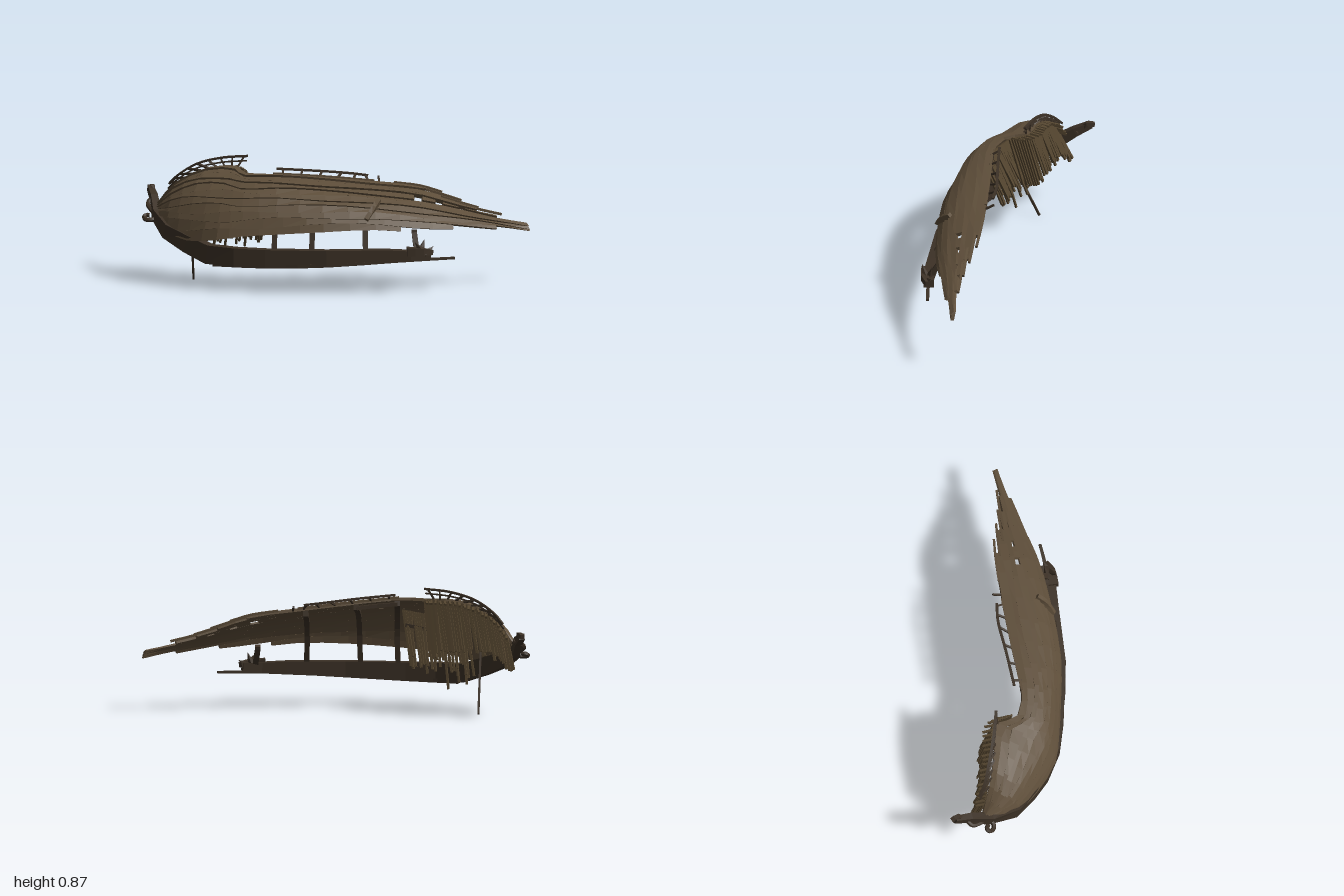
import * as THREE from 'three';

const V = (x, y, z) => new THREE.Vector3(x, y, z);
const curve = pts => new THREE.CatmullRomCurve3(pts.map(p => V(...p)));
const wood = color => new THREE.MeshStandardMaterial({ color, flatShading: true });
const hullWood = wood(0x5e4e3a), darkWood = wood(0x3c3126), slatWood = wood(0x54452f);

let seed = 7;
const rand = () => (seed = (seed * 16807) % 2147483647) / 2147483647;

// Hull stations from bow to stern: lower edge and upper edge of the planking
const LOW = curve([[-0.88, 0.43, -0.77], [-0.95, 0.36, -0.56], [-0.93, 0.32, -0.36], [-0.86, 0.35, -0.13],
  [-0.75, 0.38, 0], [-0.58, 0.4, 0.17], [-0.35, 0.42, 0.38], [-0.05, 0.43, 0.57], [0.25, 0.4, 0.73],
  [0.52, 0.38, 0.83], [0.75, 0.36, 0.91], [0.985, 0.31, 0.99]]);
const TOP = curve([[-0.85, 0.5, -0.78], [-0.79, 0.66, -0.66], [-0.65, 0.77, -0.49], [-0.51, 0.785, -0.35],
  [-0.56, 0.765, -0.2], [-0.42, 0.765, -0.03], [-0.12, 0.735, 0.14], [0.16, 0.7, 0.31], [0.43, 0.66, 0.49],
  [0.62, 0.58, 0.64], [0.79, 0.51, 0.78], [0.95, 0.47, 0.93]]);
const STATIONS = 11;

// Point on the hull: each section is a quadratic curve that stands up, then curls inward
function hull(s, v) {
  const t = THREE.MathUtils.clamp(s / STATIONS, 0, 1);
  const a = LOW.getPoint(t), c = TOP.getPoint(t), b = a.clone().lerp(c, 0.12);
  b.y = THREE.MathUtils.lerp(a.y, c.y, 0.85 - 0.2 * THREE.MathUtils.smoothstep(t, 0.55, 0.8));
  return a.multiplyScalar((1 - v) ** 2).addScaledVector(b, 2 * v * (1 - v)).addScaledVector(c, v * v);
}
function hullNormal(s, v) {
  const du = hull(Math.min(s + 0.1, STATIONS), v).sub(hull(Math.max(s - 0.1, 0), v));
  const dv = hull(s, Math.min(v + 0.05, 1)).sub(hull(s, Math.max(v - 0.05, 0)));
  return du.cross(dv).normalize();
}
const onHull = (s, v, out) => hull(s, v).addScaledVector(hullNormal(s, v), out);

// Solid through a row of four-cornered sections, capped at both ends
function loft(rings) {
  const pos = rings.flatMap(r => r.flatMap(p => p.toArray())), idx = [], last = (rings.length - 1) * 4;
  for (let i = 0; i < last; i += 4) {
    for (let j = 0; j < 4; j++) {
      const k = (j + 1) % 4;
      idx.push(i + j, i + 4 + j, i + 4 + k, i + j, i + 4 + k, i + k);
    }
  }
  idx.push(0, 1, 2, 0, 2, 3, last, last + 2, last + 1, last, last + 3, last + 2);
  const g = new THREE.BufferGeometry();
  g.setAttribute('position', new THREE.Float32BufferAttribute(pos, 3));
  g.setIndex(idx);
  g.computeVertexNormals();
  return g;
}

// Squared timber along a path; width and height may vary along it
function timber(pts, w, h, steps = 1, up = V(0, 1, 0)) {
  const path = pts.length > 2 ? new THREE.CatmullRomCurve3(pts) : new THREE.LineCurve3(...pts);
  const size = (f, t) => (typeof f === 'function' ? f(t) : f) / 2;
  const rings = [];
  for (let i = 0; i <= steps; i++) {
    const t = i / steps, p = path.getPoint(t), d = path.getTangent(t);
    const n = d.clone().cross(up).normalize(), u = n.clone().cross(d);
    n.multiplyScalar(size(w, t));
    u.multiplyScalar(size(h, t));
    rings.push([[1, -1], [1, 1], [-1, 1], [-1, -1]].map(([a, b]) =>
      p.clone().addScaledVector(n, a).addScaledVector(u, b)));
  }
  return loft(rings);
}

export function createModel() {
  const model = new THREE.Group();
  const group = name => { const g = new THREE.Group(); g.name = name; model.add(g); return g; };
  const add = (parent, name, geo, mat) => {
    const m = new THREE.Mesh(geo, mat);
    m.name = name;
    parent.add(m);
    return m;
  };

  // Lapped planks, broken off at different lengths towards the stern
  const planks = group('hullPlanks');
  const ends = [7.55, 8.75, 10, 11, 11, 11, 11, 10.1, 9.5, 8.9, 8.1];
  const N = ends.length, portRow = 7;
  ends.forEach((end, k) => {
    const edge = (j, s) => j <= 0 ? 0 : j >= N ? 1 : (j + 0.2 * Math.sin(s * 1.9 + j * 2.3)) / N;
    // One row is interrupted by small ports
    const cuts = k === portRow ? [[0, 7.82], [8, 8.33], [8.53, 8.95], [9.15, end]] : [[0.05 * (k % 3), end]];
    const lift = 0.005 * (k % 3);
    for (const [s0, s1] of cuts) {
      const n = Math.max(2, Math.round((s1 - s0) * 2)), rings = [];
      for (let i = 0; i <= n; i++) {
        const s = s0 + (s1 - s0) * i / n, lo = edge(k, s), hi = edge(k + 1, s);
        rings.push([onHull(s, lo, 0.014 + lift), onHull(s, hi, 0.004 + lift), onHull(s, hi, -0.01), onHull(s, lo, -0.01)]);
      }
      add(planks, 'plank', loft(rings), hullWood);
    }
  });
  // Splintered strips along the broken upper edge
  for (const [s0, s1, v] of [[7.4, 8.55, 1], [8, 9.1, 0.94], [8.5, 9.6, 0.86], [9, 10.3, 0.8], [4.9, 7, 1]]) {
    const pts = [0, 0.5, 1].map(f => onHull(s0 + (s1 - s0) * f, v, 0.01));
    add(planks, 'splinter', timber(pts, 0.016, 0.016, 6), hullWood);
  }

  // Keel in straight lengths, turning up into the stem at the bow
  const keelPts = [[-0.785, 0.58, -0.97], [-0.83, 0.53, -0.87], [-0.9, 0.44, -0.75], [-0.95, 0.36, -0.56],
    [-0.91, 0.295, -0.38], [-0.86, 0.24, -0.22], [-0.77, 0.235, -0.04], [-0.63, 0.235, 0.12], [-0.33, 0.245, 0.41],
    [0, 0.255, 0.64], [0.14, 0.255, 0.74], [0.26, 0.265, 0.8]].map(p => V(...p));
  const keel = group('keel');
  add(keel, 'keelBeam', timber(keelPts, t => 0.04 + 0.03 * Math.min(1, t * 3),
    t => 0.045 + 0.085 * Math.min(1, t * 2.5) - 0.075 * Math.max(0, t - 0.6) / 0.4, keelPts.length - 1), darkWood);
  add(keel, 'falseKeel', timber([V(-0.85, 0.178, -0.18), V(-0.62, 0.18, 0.14), V(-0.33, 0.195, 0.43),
    V(0.05, 0.22, 0.69), V(0.41, 0.23, 0.885)], t => 0.05 - 0.03 * t, t => 0.03 - 0.015 * t, 8), darkWood);
  add(keel, 'stemHead', timber([V(-0.81, 0.55, -0.92), V(-0.785, 0.59, -0.94), V(-0.775, 0.58, -0.99)], 0.03, 0.03, 4), darkWood);
  // Broken stump at the aft end
  add(keel, 'stump', timber([V(0.11, 0.285, 0.74), V(0.2, 0.285, 0.8), V(0.27, 0.275, 0.81)],
    t => 0.07 - 0.03 * t, t => 0.06 - 0.025 * t, 4), darkWood);
  for (const [x, y, z, tilt] of [[0.22, 0.32, 0.77, -0.4], [0.17, 0.32, 0.79, 0.7], [0.25, 0.29, 0.8, -1.1]]) {
    const spike = add(keel, 'splinterSpike', new THREE.ConeGeometry(0.03, 0.1, 5), darkWood);
    spike.position.set(x, y, z);
    spike.rotation.z = tilt;
  }

  // Curled ornament below the stem head
  const scroll = curve([[-0.8, 0.53, -0.86], [-0.83, 0.52, -0.895], [-0.87, 0.49, -0.885], [-0.885, 0.46, -0.83], [-0.89, 0.43, -0.77],
    [-0.925, 0.41, -0.75], [-0.96, 0.405, -0.77], [-0.965, 0.415, -0.805], [-0.94, 0.43, -0.815], [-0.925, 0.43, -0.79]]);
  add(model, 'bowScroll', new THREE.TubeGeometry(scroll, 36, 0.016, 6), darkWood);

  // Ribs from the keel up the inside of the planking
  const ribs = group('ribs');
  const keelCurve = new THREE.CatmullRomCurve3(keelPts).getPoints(200);
  for (const [s, top] of [[4.95, 0.98], [5.8, 0.98], [6.85, 0.98], [7.85, 0.06]]) {
    const low = onHull(s, 0, -0.03);
    const foot = keelCurve.reduce((a, b) =>
      Math.hypot(a.x - low.x, a.z - low.z) < Math.hypot(b.x - low.x, b.z - low.z) ? a : b);
    const pts = [foot.clone(), low];
    for (let i = 1; i <= 5; i++) pts.push(onHull(s, top * i / 5, -0.03));
    add(ribs, 'rib', timber(pts, 0.036, 0.036, 10, V(0.8, 0, 0.6)), darkWood);
  }
  add(ribs, 'ribTie', timber([4.95, 5.4, 5.8].map(s => onHull(s, 0.97, -0.035)), 0.025, 0.025, 4), darkWood);
  add(ribs, 'outerBrace', timber([onHull(6.85, 0.15, 0.025), onHull(7, 0.35, 0.03), onHull(7.1, 0.5, 0.025)],
    0.04, 0.03, 4, V(0.8, 0, 0.6)), hullWood);

  // Upper deck: close slats hanging from the forward top edge
  const upper = group('upperDeck');
  const deckEdge = curve([[-0.53, 0.765, -0.22], [-0.5, 0.78, -0.35], [-0.64, 0.76, -0.5], [-0.775, 0.66, -0.66], [-0.83, 0.55, -0.74]]);
  for (let i = 0; i < 44; i++) {
    const f = i / 43, a = deckEdge.getPointAt(f).add(V(0, 0.008 * rand(), 0));
    const b = a.clone().add(V(0.01 + 0.02 * rand(), -0.36 + 0.15 * f - 0.05 * rand(), -0.09 - 0.02 * rand()));
    add(upper, 'slat', timber([a, b], 0.018, 0.012, 1, V(0.8, 0, -0.6)), slatWood);
    // Short ragged ends on the open side
    if (i % 2) add(upper, 'slatEnd', timber([a, a.clone().add(V(0.035, -0.015, -0.04 - 0.02 * rand()))], 0.014, 0.014), slatWood);
  }

  // Lower deck: looser slats deeper in the hull
  const lower = group('lowerDeck');
  for (let i = 0; i < 32; i++) {
    const f = i / 31;
    const a = V(-0.79 + 0.28 * f, 0.61 + 0.07 * f, -0.34 + 0.34 * f);
    const b = a.clone().add(V(0.03 + 0.03 * rand(), -0.28 - 0.1 * rand() - (i % 5 === 2 ? 0.14 * (1 - f * 0.6) : 0), -0.1 - 0.04 * rand()));
    add(lower, 'slat', timber([a, b], 0.015, 0.012, 1, V(0.8, 0, -0.6)), slatWood);
  }
  add(lower, 'deckBeam', timber([V(-0.81, 0.5, -0.38), V(-0.5, 0.58, -0.04)], 0.02, 0.025), darkWood);
  add(lower, 'loosePole', timber([V(-0.87, 0.4, -0.4), V(-0.735, 0.003, -0.55)], 0.014, 0.014), darkWood);

  // Railings: a handrail and posts down to the planking edge
  function railing(name, pts, s0, s1, posts, second) {
    const g = group(name), path = curve(pts), steps = 16;
    add(g, 'handrail', timber(path.points, 0.018, 0.014, steps), darkWood);
    if (second) add(g, 'lowerRail', timber(path.points.map(p => p.clone().add(V(-0.01, -0.032, 0))), 0.01, 0.01, steps), darkWood);
    for (let i = 0; i < posts; i++) {
      const f = (i + 0.3) / (posts - 0.4);
      add(g, 'post', timber([path.getPoint(f), hull(s0 + (s1 - s0) * f, 0.98)], 0.013, 0.013, 1, V(0.8, 0.1, 0.6)), darkWood);
    }
  }
  railing('foreRailing', [[-0.46, 0.862, -0.3], [-0.58, 0.845, -0.43], [-0.69, 0.795, -0.57], [-0.765, 0.71, -0.68],
    [-0.79, 0.64, -0.75]], 3.1, 1, 9, true);
  railing('sideRailing', [[-0.39, 0.8, -0.07], [-0.17, 0.78, 0.055], [0.05, 0.755, 0.175], [0.15, 0.74, 0.255]], 5.05, 7, 6, false);
  add(model, 'loosePost', timber([V(0.22, 0.73, 0.28), hull(7.1, 1)], 0.013, 0.013), darkWood);

  return model;
}
